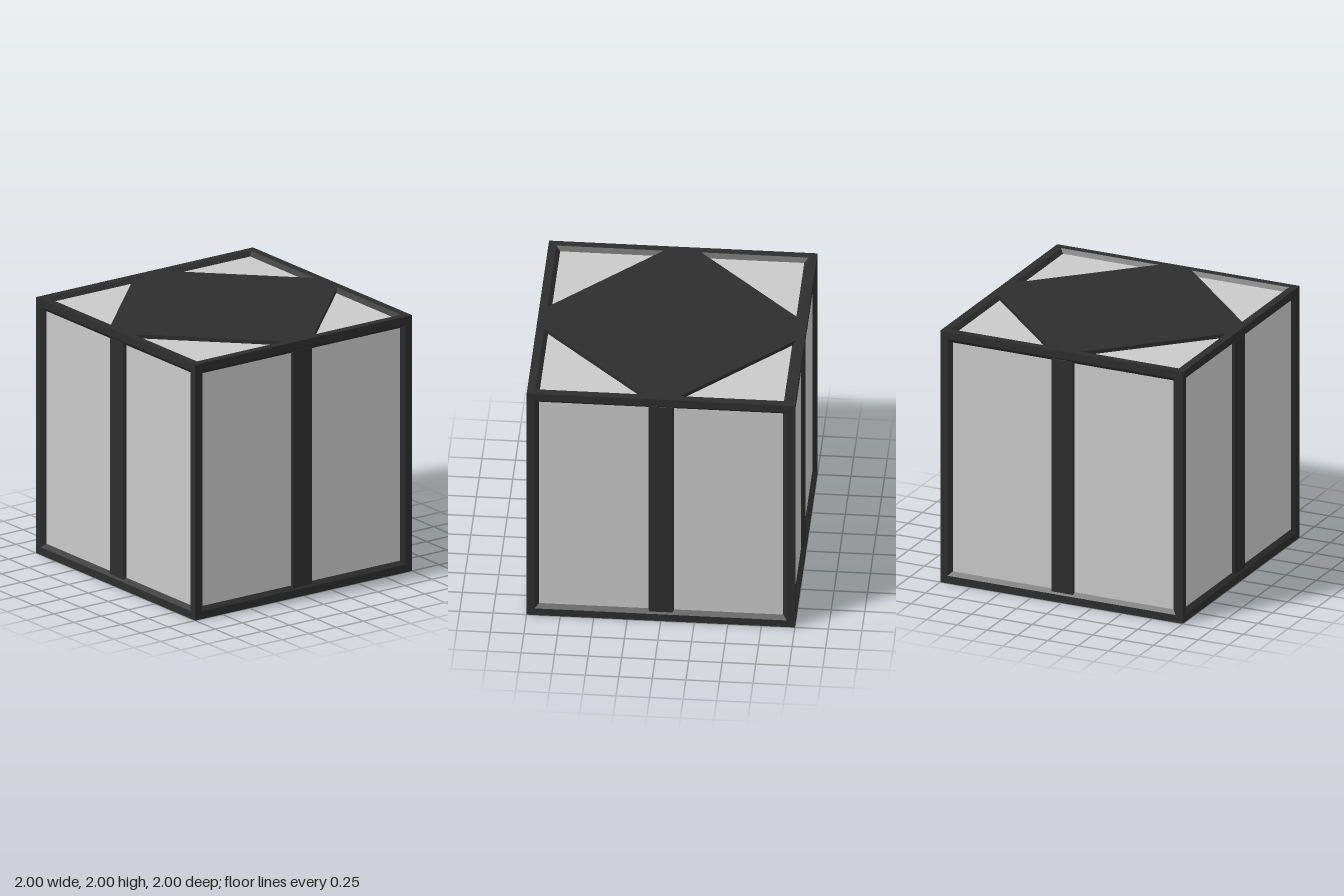
import * as THREE from 'three';

const OUTER = 1, LIP = 0.94, INNER = 0.91, DEPTH = 0.03;

function squarePath(path, h) {
  path.moveTo(-h, -h);
  path.lineTo(h, -h);
  path.lineTo(h, h);
  path.lineTo(-h, h);
  path.closePath();
  return path;
}

export function createModel() {
  const dark = new THREE.MeshStandardMaterial({ color: 0x2d2d2d, side: THREE.DoubleSide });
  dark.name = 'dark frame';
  const light = new THREE.MeshStandardMaterial({ color: 0xc9c9c9 });
  light.name = 'light panel';

  // Flat border of one cube face
  const borderShape = squarePath(new THREE.Shape(), OUTER);
  borderShape.holes.push(squarePath(new THREE.Path(), LIP));
  const borderGeo = new THREE.ShapeGeometry(borderShape).translate(0, 0, OUTER);

  // Sloping lip from the border down to the recessed panel
  const lipGeo = new THREE.CylinderGeometry(LIP * Math.SQRT2, INNER * Math.SQRT2, DEPTH, 4, 1, true)
    .rotateY(Math.PI / 4).rotateX(Math.PI / 2).translate(0, 0, OUTER - DEPTH / 2).toNonIndexed();
  lipGeo.computeVertexNormals();

  const panelGeo = new THREE.PlaneGeometry(INNER * 2, INNER * 2).translate(0, 0, OUTER - DEPTH);

  // Upright bar with bevelled edges
  const barShape = new THREE.Shape([[-1, -1], [1, -1], [1, 1], [-1, 1]]
    .map(([x, y]) => new THREE.Vector2(x * 0.085, y * 0.925)));
  const barGeo = new THREE.ExtrudeGeometry(barShape, {
    depth: 0.02, bevelThickness: 0.02, bevelSize: 0.01, bevelSegments: 1,
  }).translate(0, 0, 0.95);

  // Diamond plate with its four points cut off at the border
  const a = LIP, b = 0.14;
  const diamondShape = new THREE.Shape([[a, -b], [a, b], [b, a], [-b, a], [-a, b], [-a, -b], [-b, -a], [b, -a]]
    .map(([x, y]) => new THREE.Vector2(x, y)));
  const diamondGeo = new THREE.ExtrudeGeometry(diamondShape, { depth: DEPTH, bevelEnabled: false })
    .translate(0, 0, OUTER - DEPTH);

  const model = new THREE.Group();
  model.name = 'crate';

  function addFace(name, rx, ry, detailName, detailGeo) {
    const face = new THREE.Group();
    face.name = name;
    const parts = [
      ['border', borderGeo, dark], ['lip', lipGeo, dark],
      ['panel', panelGeo, light], [detailName, detailGeo, dark],
    ];
    for (const [part, geo, material] of parts) {
      const mesh = new THREE.Mesh(geo, material);
      mesh.name = part;
      face.add(mesh);
    }
    face.rotation.set(rx, ry, 0);
    face.position.y = 1;
    model.add(face);
  }

  ['frontFace', 'leftFace', 'backFace', 'rightFace'].forEach((name, i) =>
    addFace(name, 0, i * Math.PI / 2, 'uprightBar', barGeo));
  addFace('topFace', -Math.PI / 2, 0, 'diamondPlate', diamondGeo);
  addFace('bottomFace', Math.PI / 2, 0, 'diamondPlate', diamondGeo);
  return model;
}
